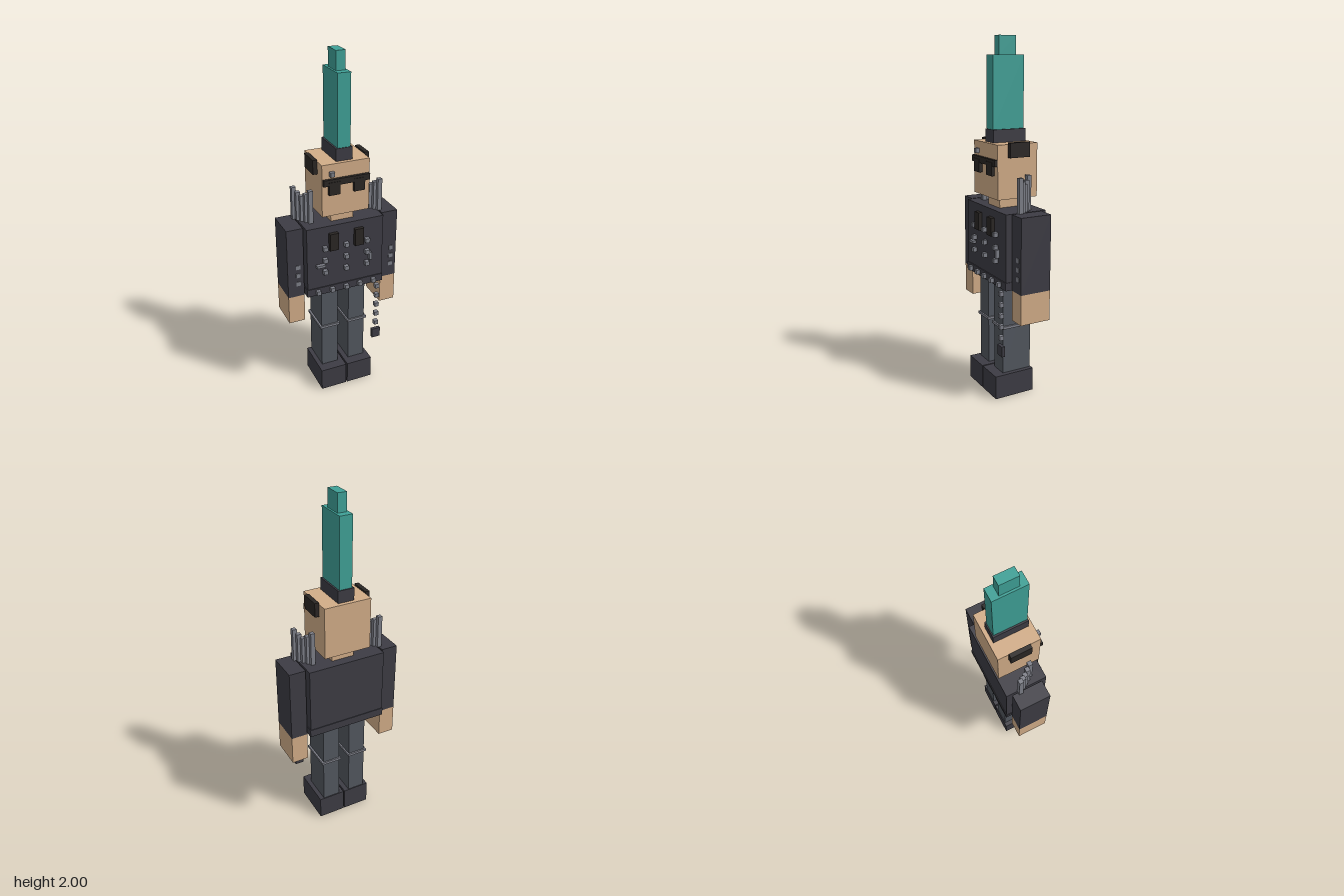
import * as THREE from 'three';

const mat = (color) => new THREE.MeshStandardMaterial({ color });

export function createModel() {
  const root = new THREE.Group();
  const cloth = mat(0x3d3c44), denim = mat(0x52575f), skin = mat(0xd2ad88);
  const teal = mat(0x3fa197), metal = mat(0x7d7f88), black = mat(0x2a2624);

  // Box from its lower and upper limits on each axis
  function box(name, material, x0, x1, y0, y1, z0, z1, parent = root) {
    const mesh = new THREE.Mesh(new THREE.BoxGeometry(x1 - x0, y1 - y0, z1 - z0), material);
    mesh.position.set((x0 + x1) / 2, (y0 + y1) / 2, (z0 + z1) / 2);
    mesh.name = name;
    parent.add(mesh);
    return mesh;
  }
  // Box with a left and a right copy
  function pair(name, material, x0, x1, ...rest) {
    box('left' + name, material, x0, x1, ...rest);
    box('right' + name, material, -x1, -x0, ...rest);
  }
  // Small cube stud
  const s = 0.0125;
  const stud = (name, x, y, z) =>
    box(name, metal, x - s, x + s, y - s, y + s, z - s, z + s);

  // Legs, knee bands and boots
  pair('Boot', cloth, 0.004, 0.162, 0, 0.137, -0.104, 0.138);
  pair('Leg', denim, 0.034, 0.136, 0.137, 0.665, -0.099, 0.079);
  pair('KneeBand', metal, 0.025, 0.147, 0.405, 0.42, -0.108, 0.088);

  // Torso, belt and arms
  box('jacket', cloth, -0.229, 0.229, 0.665, 1.085, -0.133, 0.11);
  box('belt', cloth, -0.233, 0.233, 0.665, 0.71, -0.137, 0.115);
  pair('Sleeve', cloth, 0.238, 0.333, 0.665, 1.085, -0.102, 0.079);
  pair('Hand', skin, 0.238, 0.333, 0.495, 0.665, -0.102, 0.079);
  pair('ChestPatch', black, 0.049, 0.101, 0.94, 1.042, 0.108, 0.132);

  // Chest, belt and sleeve studs
  for (const x of [-0.127, 0, 0.127])
    for (const y of [0.957, 0.884, 0.81]) stud('chestStud', x, y, 0.122);
  for (let i = -2; i <= 2; i++) stud('beltStud', i * 0.085, 0.687, 0.124);
  for (const x of [-0.272, 0.3])
    for (const y of [0.85, 0.798, 0.745]) stud('sleeveStud', x, y, 0.07);

  // Safety pins
  box('rightPin', metal, -0.178, -0.127, 0.845, 0.86, 0.11, 0.131);
  box('leftPin', metal, 0.139, 0.154, 0.83, 0.876, 0.11, 0.131);

  // Hanging chain with a fob
  for (let i = 0; i < 5; i++) stud('chainLink', 0.194, 0.641 - i * 0.064, 0.122);
  box('chainFob', cloth, 0.169, 0.221, 0.28, 0.34, 0.113, 0.132);

  // Diagonal rows of shoulder spikes
  const tops = [1.275, 1.252, 1.235, 1.252, 1.275];
  for (const cx of [-0.207, 0.206])
    tops.forEach((top, i) => {
      const x = cx + (i - 2) * 0.0162, z = -0.012 + (i - 2) * 0.0215;
      box('shoulderSpike', metal, x - s, x + s, 1.085, top, z - s, z + s);
    });

  // Neck and head
  box('neck', skin, -0.067, 0.067, 1.085, 1.145, -0.08, 0.06);
  box('head', skin, -0.137, 0.137, 1.145, 1.44, -0.133, 0.11);
  pair('EarPad', black, 0.137, 0.162, 1.37, 1.45, -0.072, 0.048);

  // Sunglasses and brow piercing
  box('glassesBar', black, -0.133, 0.133, 1.325, 1.36, 0.108, 0.127);
  pair('Lens', black, 0.04, 0.103, 1.272, 1.345, 0.108, 0.13);
  stud('browPiercing', -0.084, 1.388, 0.12);

  // Mohawk
  box('mohawkBase', cloth, -0.047, 0.047, 1.44, 1.51, -0.111, 0.087);
  box('mohawk', teal, -0.037, 0.037, 1.51, 1.9, -0.105, 0.083);
  box('mohawkTip', teal, -0.026, 0.026, 1.9, 2, -0.063, 0.04);

  return root;
}
